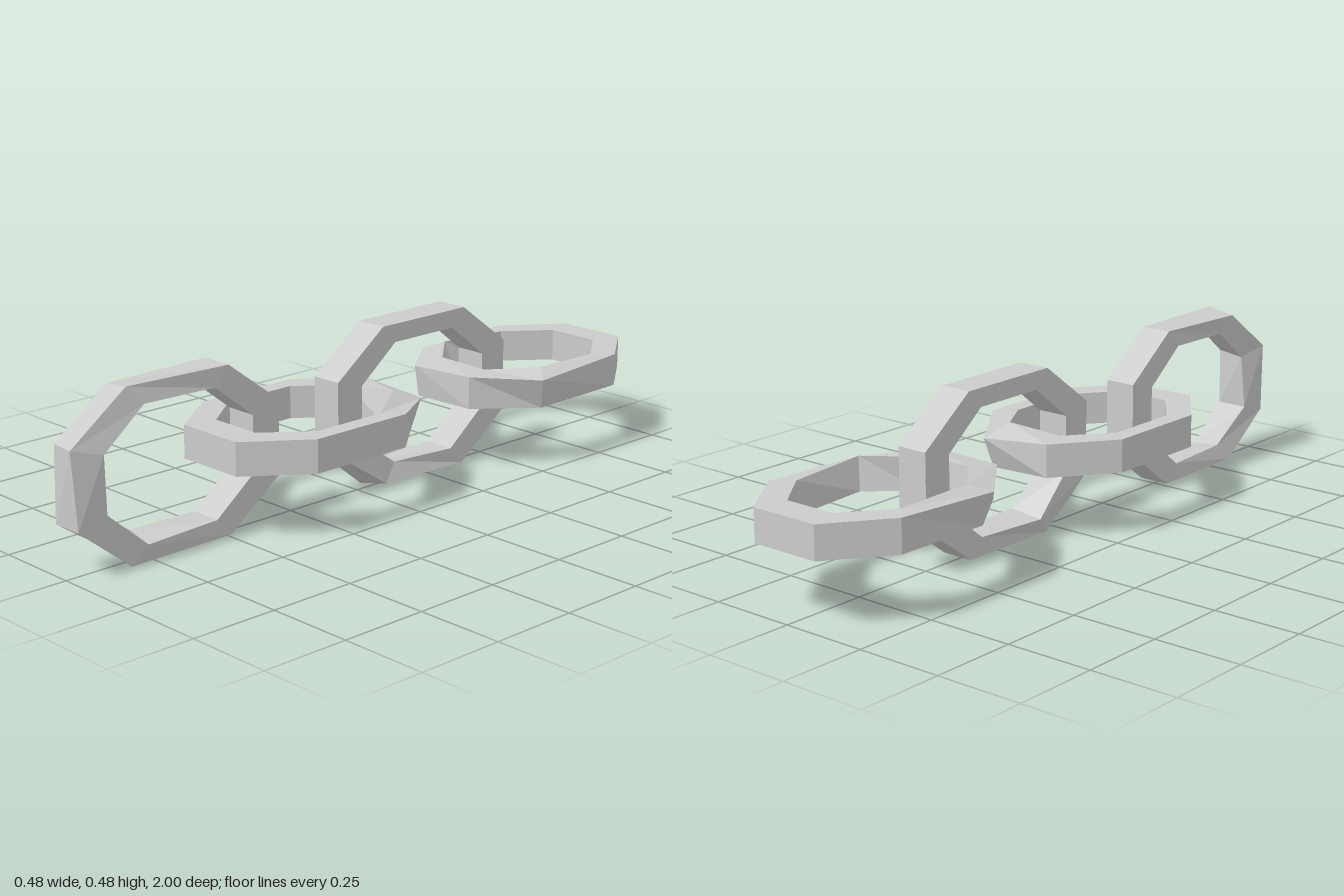
import * as THREE from 'three';

const HALF = 0.047; // half of a link's thickness
const END = { outer: [0.33, 0.105], inner: [0.24, 0.08] };
const SIDE = { outer: [0.16, 0.232], inner: [0.113, 0.18] };

// Octagonal ring around the x axis, long along z. The END and SIDE corners are
// mirrored into four quadrants; twists turns single corners (index: degrees).
function linkGeometry(twists) {
  const pos = [], index = [];
  for (let i = 0; i < 8; i++) {
    const { outer, inner } = i % 4 === 0 || i % 4 === 3 ? END : SIDE;
    const signZ = i < 2 || i > 5 ? 1 : -1, signY = i < 4 ? 1 : -1;
    const dz = (outer[0] - inner[0]) / 2, dy = (outer[1] - inner[1]) / 2;
    const half = Math.hypot(dz, dy);
    const t = THREE.MathUtils.degToRad(twists[i] ?? 0);
    const c = Math.cos(t), s = Math.sin(t);
    // four points of the cross-section
    for (const [a, b] of [[1, 1], [1, -1], [-1, -1], [-1, 1]]) {
      const out = a * c - b * HALF / half * s;
      pos.push(
        a * half * s + b * HALF * c,
        signY * (inner[1] + dy + dy * out),
        signZ * (inner[0] + dz + dz * out));
    }
    // four walls to the next cross-section
    for (let k = 0; k < 4; k++) {
      const next = ((i + 1) % 8) * 4, k1 = (k + 1) % 4;
      const p0 = i * 4 + k, p1 = i * 4 + k1, q0 = next + k, q1 = next + k1;
      index.push(p0, q0, p1, p1, q0, q1);
    }
  }
  const g = new THREE.BufferGeometry();
  g.setAttribute('position', new THREE.Float32BufferAttribute(pos, 3));
  g.setIndex(index);
  g.computeVertexNormals();
  return g;
}

export function createModel() {
  const group = new THREE.Group();
  group.name = 'chain';
  const material = new THREE.MeshStandardMaterial({ color: 0xcccccc, flatShading: true });
  const addLink = (name, z, flat, twists) => {
    const mesh = new THREE.Mesh(linkGeometry(twists), material);
    mesh.name = name;
    mesh.position.set(0, flat ? 0.238 : 0.242, z);
    if (flat) mesh.rotation.z = Math.PI / 2;
    group.add(mesh);
  };
  addLink('frontUprightLink', 0.66, false, { 0: -12, 1: -10, 6: -10 });
  addLink('frontFlatLink', 0.2, true, { 4: -20 });
  addLink('rearUprightLink', -0.215, false, { 6: 14 });
  addLink('rearFlatLink', -0.67, true, { 0: -8, 1: -18, 6: -18 });
  return group;
}
